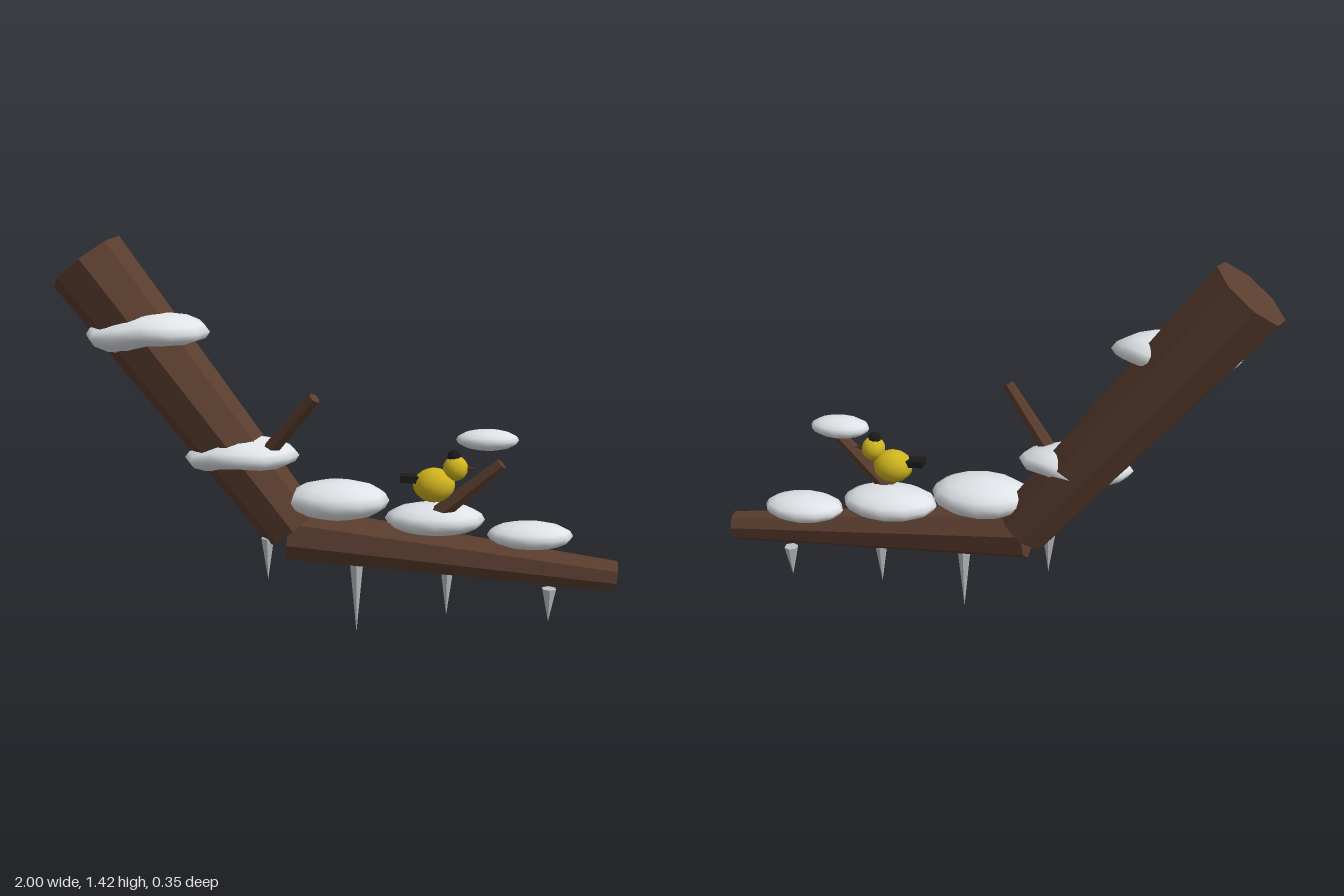
import * as THREE from 'three';

const paint = (name, color) => {
  const m = new THREE.MeshStandardMaterial({ color });
  m.name = name;
  return m;
};

export function createModel() {
  const group = new THREE.Group();
  const bark = paint('bark', 0x5a3d2e);
  const snow = paint('snow', 0xe0e4e8);
  const ice = paint('ice', 0xbcc0c4);
  const yellow = paint('yellow feathers', 0xd0b41e);
  const black = paint('black feathers', 0x1a1a1a);
  const horn = paint('beak brown', 0x4a3420);

  const add = (name, geometry, material, position = [0, 0, 0], parent = group) => {
    const mesh = new THREE.Mesh(geometry, material);
    mesh.name = name;
    mesh.position.set(...position);
    parent.add(mesh);
    return mesh;
  };

  // Tapered, faceted limb running from point a to point b
  const limb = (name, a, b, ra, rb, sides, turn = 0) => {
    const from = new THREE.Vector3(...a), to = new THREE.Vector3(...b);
    const dir = to.clone().sub(from);
    const g = new THREE.CylinderGeometry(rb, ra, dir.length(), sides);
    g.rotateY(turn);
    const flat = g.toNonIndexed();
    flat.computeVertexNormals();
    const mesh = add(name, flat, bark, from.clone().add(to).multiplyScalar(0.5).toArray());
    mesh.quaternion.setFromUnitVectors(new THREE.Vector3(0, 1, 0), dir.normalize());
  };
  limb('trunk', [-0.155, 0.39, 0.01], [-0.885, 1.335, -0.03], 0.108, 0.146, 8, 0.12);
  limb('branch', [-0.165, 0.372, 0.012], [0.99, 0.245, 0.055], 0.102, 0.055, 8, 0.2);
  limb('leftTwig', [-0.25, 0.66, 0.055], [-0.065, 0.885, 0.15], 0.03, 0.022, 6);
  limb('rightTwig', [0.36, 0.46, 0.065], [0.578, 0.655, 0.108], 0.032, 0.022, 6);

  // Snow cushions: centre, radii, tilt; the rim is gently uneven
  const cushions = [
    [[-0.66, 1.09, 0.032], [0.22, 0.062, 0.138], 0.06],
    [[-0.335, 0.658, 0.025], [0.205, 0.056, 0.134], 0.05],
    [[0.005, 0.498, 0.022], [0.185, 0.07, 0.137], 0],
    [[0.352, 0.434, 0.02], [0.178, 0.057, 0.12], 0],
    [[0.69, 0.378, 0.018], [0.152, 0.048, 0.1], 0],
    [[0.532, 0.722, 0.02], [0.11, 0.037, 0.07], 0],
  ];
  cushions.forEach(([centre, radii, tilt], i) => {
    const g = new THREE.SphereGeometry(1, 12, 8);
    const p = g.attributes.position;
    for (let k = 0; k < p.count; k++) {
      const x = p.getX(k), z = p.getZ(k);
      const lump = tilt ? 0.16 * Math.sin(4 * x + 2 * z + i) : 0;
      p.setY(k, p.getY(k) + lump);
    }
    g.scale(...radii);
    g.computeVertexNormals();
    add('snowCushion' + (i + 1), g, snow, centre).rotation.z = tilt;
  });

  // Icicles: x, top, tip, radius
  [
    [-0.245, 0.355, 0.2, 0.025],
    [0.075, 0.28, 0.005, 0.028],
    [0.398, 0.26, 0.08, 0.027],
    [0.762, 0.187, 0.063, 0.027],
  ].forEach(([x, top, tip, r], i) => {
    const g = new THREE.ConeGeometry(r, top - tip, 6);
    g.rotateX(Math.PI);
    const flat = g.toNonIndexed();
    flat.computeVertexNormals();
    add('icicle' + (i + 1), flat, ice, [x, (top + tip) / 2, 0.035]);
  });

  // Perched bird facing +x
  const bird = new THREE.Group();
  bird.name = 'bird';
  group.add(bird);
  const body = new THREE.SphereGeometry(1, 12, 10).scale(0.074, 0.061, 0.061);
  add('birdBody', body, yellow, [0.347, 0.565, 0.056], bird);
  add('birdHead', new THREE.SphereGeometry(0.044, 12, 10), yellow, [0.421, 0.627, 0.06], bird);
  add('birdCap', new THREE.SphereGeometry(0.024, 8, 6), black, [0.415, 0.669, 0.06], bird);
  add('birdTail', new THREE.BoxGeometry(0.08, 0.024, 0.052), black, [0.268, 0.587, 0.056], bird).rotation.z = -0.05;
  const beak = new THREE.ConeGeometry(0.013, 0.045, 6).rotateZ(-Math.PI / 2);
  add('birdBeak', beak, horn, [0.474, 0.626, 0.06], bird);

  return group;
}
